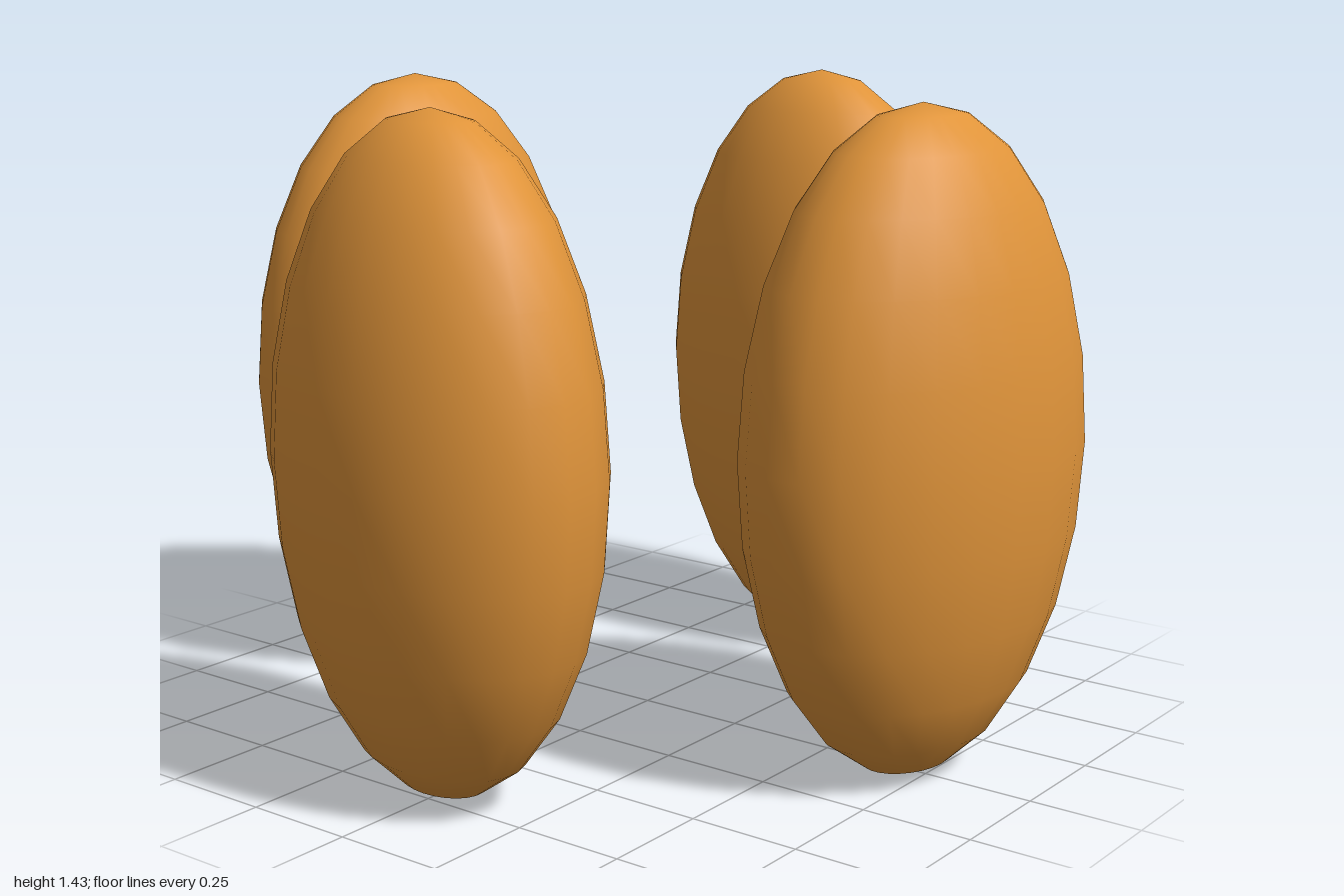
import * as THREE from 'three';

export function createModel() {
  const model = new THREE.Group();
  const amber = new THREE.MeshStandardMaterial({ color: 0xe0943a });
  amber.name = 'amber';

  // Upright flattened egg: wide across x, thin along z, resting on the ground
  const HALF_HEIGHT = 0.714;
  const lobe = new THREE.SphereGeometry(1, 24, 12);
  lobe.scale(0.43, HALF_HEIGHT, 0.29);

  // Four lobes in a ring, each turned slightly like a pinwheel blade
  ['frontLobe', 'leftLobe', 'backLobe', 'rightLobe'].forEach((name, i) => {
    const angle = i * Math.PI / 2;
    const mesh = new THREE.Mesh(lobe, amber);
    mesh.name = name;
    mesh.position.set(0.702 * Math.sin(angle), HALF_HEIGHT, 0.702 * Math.cos(angle));
    mesh.rotation.y = angle - 0.2;
    model.add(mesh);
  });

  return model;
}
